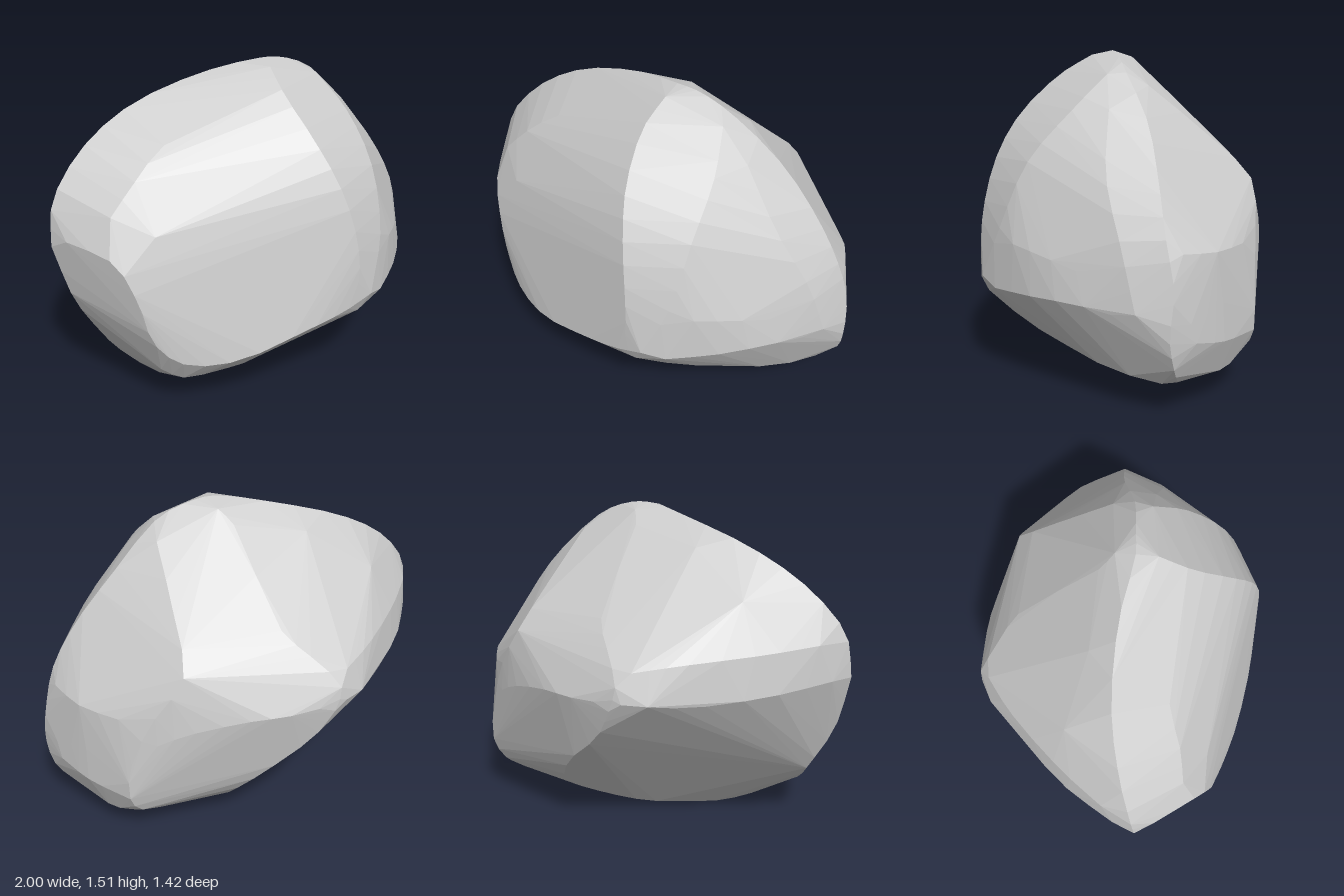
import * as THREE from 'three';
import { ConvexGeometry } from 'three/addons/geometries/ConvexGeometry.js';

// Samples a smooth worn edge of the stone through a few [x, y, z] points.
function edge(samples, ...points) {
  const curve = new THREE.CatmullRomCurve3(points.map((p) => new THREE.Vector3(...p)));
  return curve.getPoints(samples);
}

export function createModel() {
  // Crest from the left tip over the top and down the right end
  const crest = edge(36, [-1, 0.8, 0.05], [-0.97, 1, 0.03], [-0.8, 1.2, -0.02], [-0.55, 1.35, -0.05],
    [-0.2, 1.46, -0.02], [0.08, 1.51, 0.05], [0.2, 1.5, 0.05], [0.36, 1.44, 0.05], [0.6, 1.23, 0], [0.8, 1, 0],
    [0.92, 0.8, 0], [0.98, 0.6, -0.02], [1, 0.4, 0], [0.97, 0.25, -0.03], [0.88, 0.16, -0.07], [0.68, 0.1, -0.1]);

  // Belly edge from the right end down to the lowest point and up to the left tip
  const keel = edge(16, [0.68, 0.1, -0.02], [-0.25, 0, 0], [-0.45, 0.025, 0.14], [-0.58, 0.085, 0.24],
    [-0.75, 0.22, 0.12], [-0.82, 0.32, 0.06], [-0.93, 0.53, 0.08], [-1, 0.8, 0.05]);

  // Rounded shoulder between the broad front face and the right front face
  const shoulderLeft = edge(14, [0.08, 1.49, 0.15], [0.06, 1.4, 0.3], [0.1, 1.22, 0.5], [0.16, 1.03, 0.62],
    [0.21, 0.8, 0.69], [0.22, 0.6, 0.71], [0.18, 0.46, 0.7]);
  const shoulderRight = edge(12, [0.36, 1.42, 0.13], [0.42, 1.27, 0.3], [0.43, 1.05, 0.5],
    [0.4, 0.75, 0.63], [0.31, 0.53, 0.7]);

  // Slight swell of the right front face
  const rightSwell = edge(8, [0.5, 1.28, 0.15], [0.69, 1.02, 0.2], [0.86, 0.75, 0.17], [0.94, 0.5, 0.13]);
  const rightBulge = edge(3, [0.5, 0.7, 0.58], [0.62, 0.68, 0.48], [0.75, 0.64, 0.34]);

  // Lower rim of the front face, rising to the left tip
  const frontRim = edge(18, [0.3, 0.5, 0.71], [0.15, 0.45, 0.71], [-0.05, 0.4, 0.69], [-0.38, 0.3, 0.61],
    [-0.6, 0.31, 0.52], [-0.71, 0.42, 0.46], [-0.76, 0.62, 0.43], [-0.83, 0.8, 0.35], [-0.96, 0.85, 0.14]);
  const lowerRim = edge(4, [-0.4, 0.22, 0.53], [-0.57, 0.19, 0.46], [-0.66, 0.24, 0.41]);

  // Break between the front face and the slope above it, and the swell of that slope
  const frontBreak = edge(5, [-0.65, 0.9, 0.39], [-0.35, 0.93, 0.48], [0, 0.97, 0.58]);
  const frontSlope = edge(6, [-0.8, 0.98, 0.27], [-0.67, 1.11, 0.25], [-0.5, 1.23, 0.2], [-0.02, 1.41, 0.21]);

  // Upper and lower edges of the bevel under the right front face
  const bevelTop = edge(6, [0.4, 0.47, 0.66], [0.6, 0.49, 0.52], [0.8, 0.5, 0.32], [0.94, 0.46, 0.11]);
  const bevelBottom = edge(6, [0.25, 0.41, 0.68], [0.4, 0.3, 0.52], [0.55, 0.23, 0.36], [0.75, 0.18, 0.18], [0.88, 0.16, 0]);

  // Underside, running from the front rim to the lowest point, then obliquely up the back
  const undersideFront = edge(8, [-0.2, 0.35, 0.64], [-0.3, 0.22, 0.54], [-0.33, 0.09, 0.35], [-0.28, 0.04, 0.2], [-0.25, 0, 0]);
  const undersideBack = edge(14, [-0.25, 0, 0], [-0.08, 0.04, -0.2], [0.1, 0.105, -0.35], [0.22, 0.185, -0.47],
    [0.12, 0.36, -0.6], [-0.12, 0.58, -0.68], [-0.2, 0.72, -0.71]);

  // Spine of the back slope, from the crest to the rearmost point
  const backSpine = edge(10, [0.1, 1.48, -0.04], [0.05, 1.42, -0.11], [-0.02, 1.06, -0.5], [-0.12, 0.96, -0.6],
    [-0.23, 0.83, -0.7], [-0.2, 0.72, -0.71]);

  // Waist around the back and the softer band above its left half
  const backWaist = edge(20, [-0.95, 0.8, -0.05], [-0.77, 0.77, -0.29], [-0.5, 0.74, -0.53], [-0.3, 0.76, -0.69],
    [0, 0.74, -0.7], [0.2, 0.73, -0.66], [0.46, 0.67, -0.575], [0.62, 0.59, -0.5], [0.84, 0.5, -0.29], [0.96, 0.45, -0.1]);
  const backBand = edge(8, [-0.9, 0.97, -0.1], [-0.73, 0.95, -0.29], [-0.45, 0.92, -0.54], [-0.28, 0.89, -0.65]);
  const backSlope = edge(4, [-0.6, 1.16, -0.26], [-0.3, 1.35, -0.15]);

  // Edge down the right of the back slope and along the low back corner
  const backRight = edge(14, [0.4, 1.37, -0.05], [0.42, 1.13, -0.34], [0.45, 0.94, -0.53], [0.58, 0.75, -0.51],
    [0.69, 0.5, -0.47], [0.71, 0.3, -0.47], [0.65, 0.2, -0.45], [0.45, 0.17, -0.43]);
  const backShoulder = edge(4, [0.93, 0.74, -0.07], [0.86, 0.72, -0.24], [0.72, 0.71, -0.4]);
  const backCorner = edge(6, [0.71, 0.3, -0.47], [0.86, 0.32, -0.28], [0.95, 0.36, -0.13]);
  const backSole = edge(6, [0.45, 0.16, -0.42], [0.66, 0.16, -0.4], [0.78, 0.15, -0.29], [0.66, 0.11, -0.17]);

  const points = [crest, keel, shoulderLeft, shoulderRight, rightSwell, rightBulge, frontRim, lowerRim,
    frontBreak, frontSlope, bevelTop, bevelBottom, undersideFront, undersideBack, backSpine, backWaist,
    backBand, backSlope, backRight, backShoulder, backCorner, backSole].flat();

  // The stone is the convex skin stretched over all its edges
  const material = new THREE.MeshStandardMaterial({ color: 0xcccccc, flatShading: true });
  const stone = new THREE.Mesh(new ConvexGeometry(points), material);
  stone.name = 'stone';

  const group = new THREE.Group();
  group.name = 'rock';
  group.add(stone);
  return group;
}
